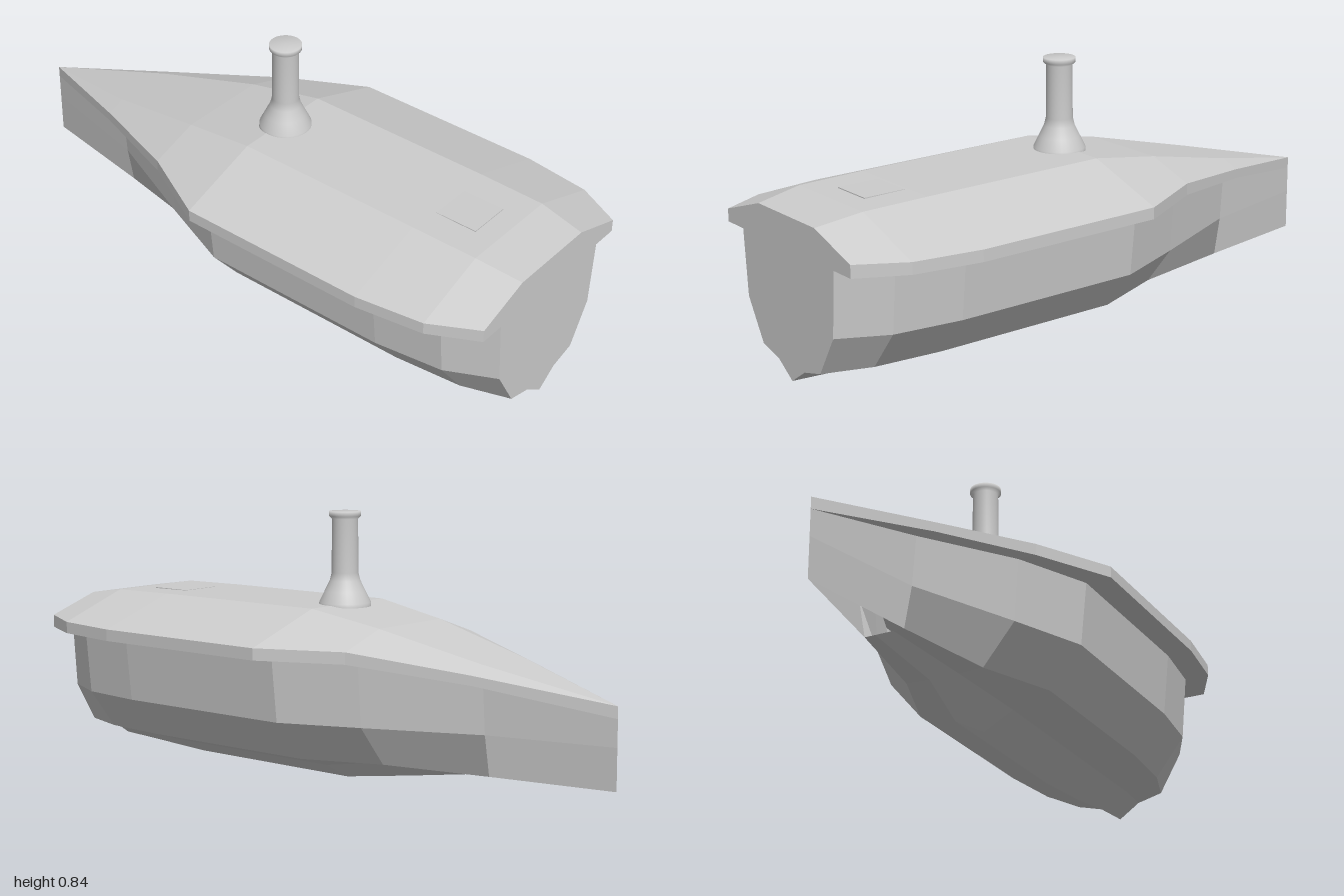
import * as THREE from 'three';

// Stations, stern to bow: z, then [half width, height] of each line of the boat
const stations = [
  { z: 1.0, ridge: [0.15, 0.525], rim: [0.33, 0.465, 0.425], wall: 0.245, chine: [0.23, 0.22], bilge: [0.155, 0.092], keelTop: [0.07, 0.07], keel: 0.022 },
  { z: 0.85, ridge: [0.168, 0.547], rim: [0.408, 0.462, 0.425], wall: 0.325, chine: [0.305, 0.22], bilge: [0.205, 0.092], keelTop: [0.09, 0.062], keel: 0.014 },
  { z: 0.63, ridge: [0.17, 0.55], rim: [0.438, 0.46, 0.423], wall: 0.355, chine: [0.333, 0.22], bilge: [0.225, 0.092], keelTop: [0.1, 0.053], keel: 0.002 },
  { z: 0.0, ridge: [0.17, 0.552], rim: [0.438, 0.46, 0.423], wall: 0.355, chine: [0.333, 0.22], bilge: [0.225, 0.092], keelTop: [0.1, 0.053], keel: 0 },
  { z: -0.25, ridge: [0.15, 0.51], rim: [0.308, 0.457, 0.42], wall: 0.25, chine: [0.235, 0.22], bilge: [0.13, 0.092], keelTop: [0.05, 0.088], keel: 0.037 },
  { z: -0.6, ridge: [0.1, 0.43], rim: [0.16, 0.406, 0.376], wall: 0.1, chine: [0.088, 0.22], bilge: [0.065, 0.092], keelTop: [0.03, 0.092], keel: 0.092 },
  { z: -1.0, ridge: [0, 0.34], rim: [0, 0.34, 0.303], wall: 0, chine: [0, 0.22], bilge: [0, 0.092], keelTop: [0, 0.092], keel: 0.092 },
];

// Closed ring of a station, clockwise seen from the stern
function ring(s) {
  const half = [s.ridge, [s.rim[0], s.rim[1]], [s.rim[0], s.rim[2]], [s.wall, s.rim[2]], s.chine, s.bilge, s.keelTop];
  const mirrored = half.map(([x, y]) => [-x, y]).reverse();
  return [...half, [0, s.keel], ...mirrored];
}

// Panels between the rings over the given ring edges, each panel with one normal
function loft(edges, bays) {
  const pos = [], nor = [];
  const rings = stations.map((s) => ring(s).map(([x, y]) => new THREE.Vector3(x, y, s.z)));
  for (let i = 0; i < bays; i++) {
    for (const j of edges) {
      const k = (j + 1) % rings[i].length;
      const [p, q, r, s] = [rings[i][j], rings[i][k], rings[i + 1][k], rings[i + 1][j]];
      const n = r.clone().sub(p).cross(s.clone().sub(q)).normalize();
      for (const t of [[p, q, r], [p, r, s]]) {
        if (new THREE.Triangle(...t).getArea() < 1e-7) continue;
        for (const v of t) {
          pos.push(v.x, v.y, v.z);
          nor.push(n.x, n.y, n.z);
        }
      }
    }
  }
  const geo = new THREE.BufferGeometry();
  geo.setAttribute('position', new THREE.Float32BufferAttribute(pos, 3));
  geo.setAttribute('normal', new THREE.Float32BufferAttribute(nor, 3));
  return geo;
}

export function createModel() {
  const group = new THREE.Group();
  const grey = new THREE.MeshStandardMaterial({ color: 0xcccccc, side: THREE.DoubleSide });
  grey.name = 'light grey';

  const add = (name, geo) => {
    const mesh = new THREE.Mesh(geo, grey);
    mesh.name = name;
    group.add(mesh);
    return mesh;
  };

  // Roof-like deck with its overhanging rim
  add('deck', loft([14, 0, 1, 2, 11, 12, 13], 6));
  // Sides down to the bilge, meeting in the stem
  add('sides', loft([3, 4, 9, 10], 6));
  // Bottom and keel, ending short of the stem
  add('keel', loft([5, 6, 7, 8], 5));

  // Flat stern
  const outline = new THREE.Shape(ring(stations[0]).map(([x, y]) => new THREE.Vector2(x, y)));
  add('transom', new THREE.ShapeGeometry(outline)).position.z = 1;

  // Flush hatch near the stern
  add('hatch', new THREE.BoxGeometry(0.14, 0.004, 0.14)).position.set(0, 0.549, 0.71);

  // Funnel with flared foot and lipped, softly rounded top
  const profile = [
    [0.082, 0.545], [0.081, 0.557], [0.064, 0.592], [0.048, 0.625], [0.042, 0.65],
    [0.041, 0.818], [0.05, 0.826], [0.05, 0.841], [0, 0.841],
  ].map(([r, y]) => new THREE.Vector2(r, y));
  add('funnel', new THREE.LatheGeometry(profile, 32)).position.z = 0.01;

  return group;
}
